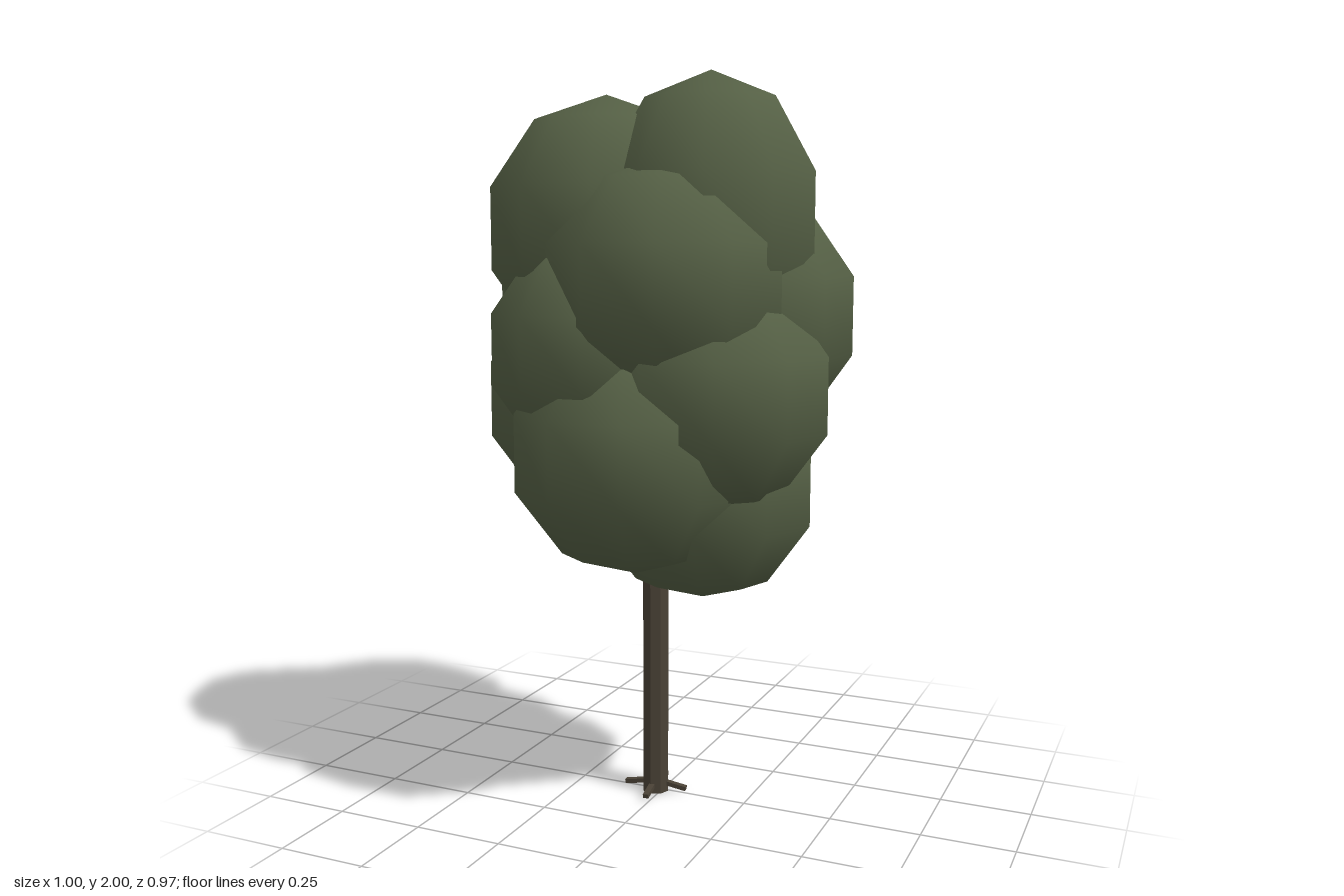
import * as THREE from 'three';

const leafMat = new THREE.MeshStandardMaterial({ color: 0x556045 });
leafMat.name = 'leaf green';
const barkMat = new THREE.MeshStandardMaterial({ color: 0x4a4236 });
barkMat.name = 'bark brown';

// Leaf clumps: centre x, y, z, horizontal radius, vertical radius, turn in degrees
const CLUMPS = [
  [0.16, 1.62, 0.05, 0.3, 0.38, 0],         // crown top, left side
  [-0.14, 1.595, 0.055, 0.33, 0.355, 0],    // crown top, right side
  [0.05, 1.52, -0.18, 0.322, 0.34, 18],     // upper back
  [0.085, 1.455, 0.167, 0.33, 0.33, 0],     // upper front
  [-0.105, 1.28, 0.185, 0.295, 0.31, 0],    // middle front
  [0.2, 1.365, -0.055, 0.325, 0.34, 12],    // middle left
  [-0.17, 1.425, -0.005, 0.315, 0.32, 9],   // middle right
  [0.19, 1.17, 0.105, 0.325, 0.325, 4],     // lower middle left
  [-0.19, 1.13, -0.01, 0.328, 0.335, 0],    // lower middle right
  [0.075, 1.145, -0.085, 0.318, 0.32, 0],   // lower middle back
  [0, 1.015, 0.178, 0.338, 0.335, 0],       // lower front
  [-0.155, 0.97, -0.078, 0.314, 0.335, 18], // bottom right
  [0.122, 0.91, 0, 0.323, 0.325, 0],        // bottom left
];

function createFoliage() {
  const foliage = new THREE.Group();
  foliage.name = 'foliage';
  const sphere = new THREE.SphereGeometry(1, 10, 5);
  CLUMPS.forEach(([x, y, z, r, ry, turn], i) => {
    const clump = new THREE.Mesh(sphere, leafMat);
    clump.name = `leafClump${i + 1}`;
    clump.position.set(x, y, z);
    clump.scale.set(r, ry, r);
    clump.rotation.y = THREE.MathUtils.degToRad(turn);
    foliage.add(clump);
  });
  return foliage;
}

function createTrunk() {
  const trunk = new THREE.Group();
  trunk.name = 'trunk';
  trunk.position.set(-0.018, 0, 0.006);

  // Faceted stem running up into the foliage
  const stemGeo = new THREE.CylinderGeometry(0.038, 0.038, 1, 8).toNonIndexed();
  stemGeo.computeVertexNormals();
  const stem = new THREE.Mesh(stemGeo, barkMat);
  stem.name = 'stem';
  stem.position.y = 0.5;
  trunk.add(stem);

  // Four thin roots sloping down to the ground
  const rootGeo = new THREE.BoxGeometry(0.09, 0.012, 0.016);
  rootGeo.translate(0.047, 0, 0);
  for (let i = 0; i < 4; i++) {
    const root = new THREE.Group();
    root.name = `root${i + 1}`;
    root.rotation.y = (i / 4) * Math.PI * 2 + 0.09;
    const mesh = new THREE.Mesh(rootGeo, barkMat);
    mesh.name = 'rootBranch';
    mesh.position.y = 0.029;
    mesh.rotation.z = -0.17;
    root.add(mesh);
    trunk.add(root);
  }
  return trunk;
}

export function createModel() {
  const tree = new THREE.Group();
  tree.name = 'tree';
  tree.add(createTrunk(), createFoliage());
  return tree;
}
